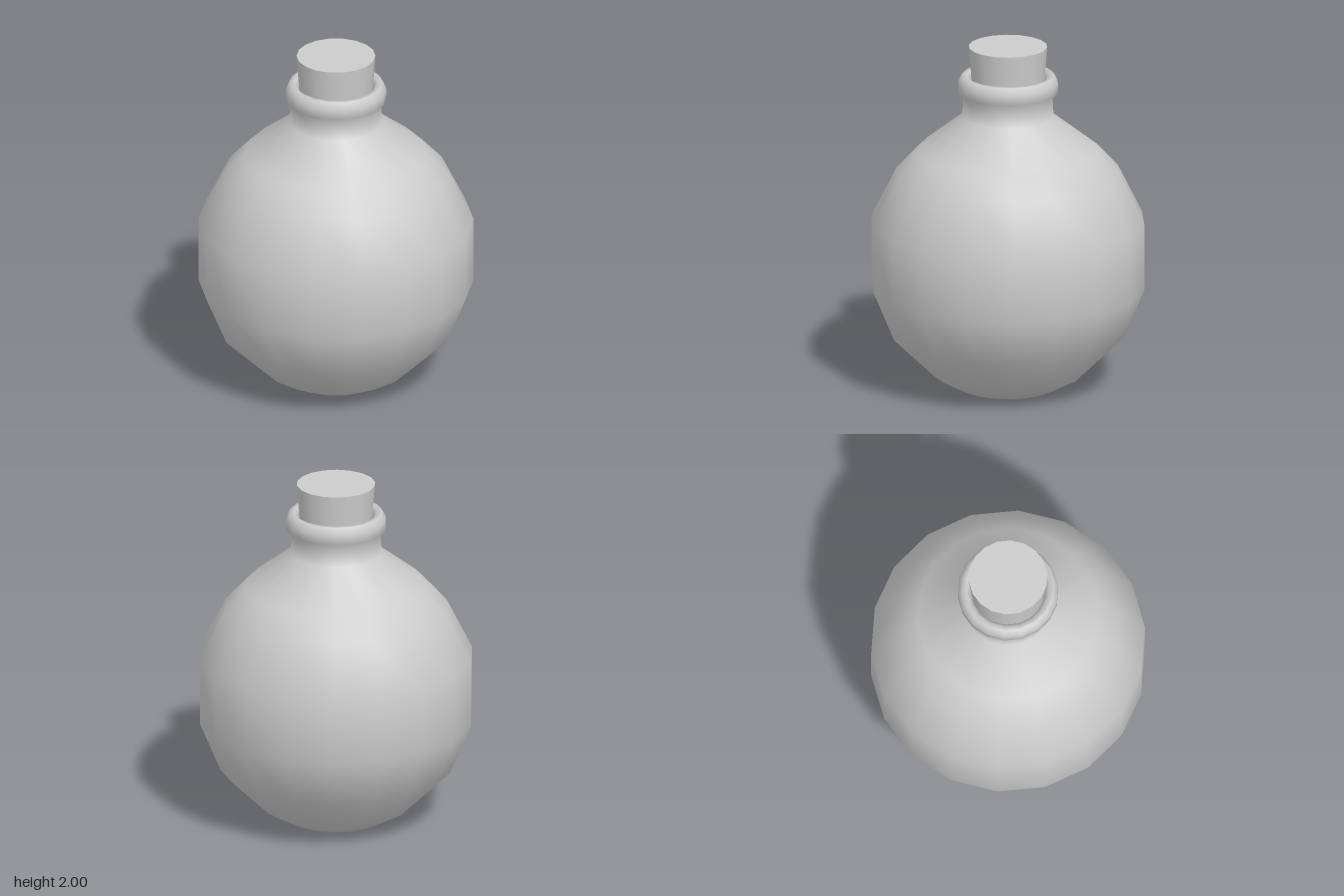
import * as THREE from 'three';

const SIDES = 18;

export function createModel() {
  const group = new THREE.Group();
  group.name = 'corkedFlask';

  // Flask: flat base, round belly, neck, rolled lip and the start of the inner wall
  const profile = [
    [0, 0], [0.285, 0], [0.43, 0.08], [0.66, 0.305], [0.777, 0.59], [0.777, 0.975],
    [0.635, 1.26], [0.515, 1.39], [0.26, 1.59], [0.255, 1.7], [0.285, 1.735],
    [0.285, 1.79], [0.262, 1.83], [0.235, 1.83], [0.212, 1.8], [0.205, 1.7],
  ].map(([r, y]) => new THREE.Vector2(r, y));
  const flask = new THREE.Mesh(
    new THREE.LatheGeometry(profile, SIDES, Math.PI / 2),
    new THREE.MeshStandardMaterial({ color: 0xcccccc, side: THREE.DoubleSide })
  );
  flask.name = 'flask';
  group.add(flask);

  // Tapered cork, sunk into the neck
  const cork = new THREE.Mesh(
    new THREE.CylinderGeometry(0.223, 0.2, 0.32, SIDES, 1, false, Math.PI / 2),
    new THREE.MeshStandardMaterial({ color: 0xcccccc })
  );
  cork.name = 'cork';
  cork.position.y = 1.84;
  group.add(cork);

  return group;
}
